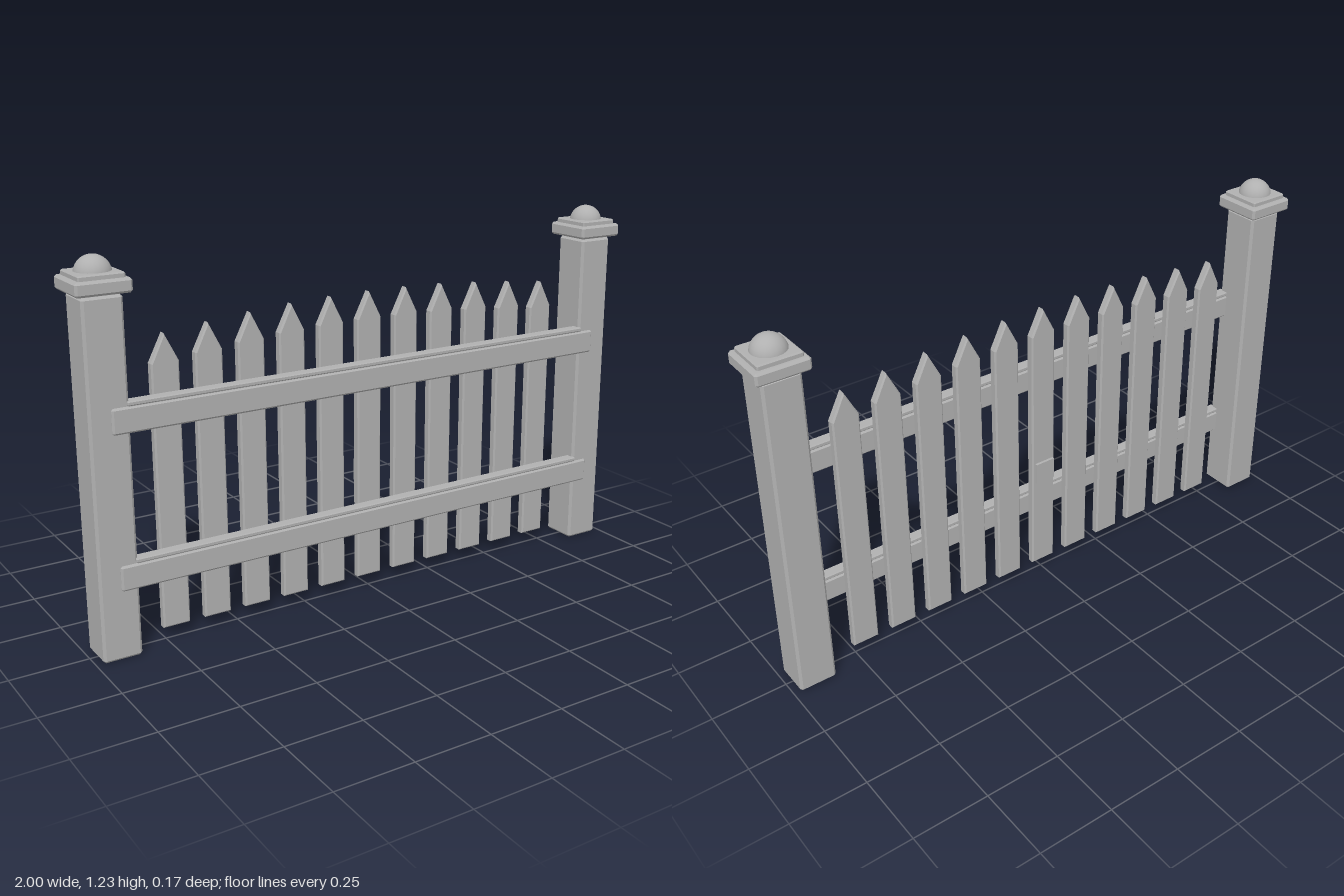
import * as THREE from 'three';
import { ConvexGeometry } from 'three/addons/geometries/ConvexGeometry.js';

const paint = new THREE.MeshStandardMaterial({ color: 0xb0b0b0 });
paint.name = 'greyPaint';

function add(parent, name, geometry, x = 0, y = 0, z = 0) {
  const mesh = new THREE.Mesh(geometry, paint);
  mesh.name = name;
  mesh.position.set(x, y, z);
  parent.add(mesh);
  return mesh;
}

// Box centred on the origin with every edge chamfered by c
function chamferBox(w, h, d, c) {
  const points = [];
  for (const sx of [-1, 1]) for (const sy of [-1, 1]) for (const sz of [-1, 1]) {
    const [x, y, z] = [w / 2, h / 2, d / 2];
    points.push(
      new THREE.Vector3(sx * x, sy * (y - c), sz * (z - c)),
      new THREE.Vector3(sx * (x - c), sy * y, sz * (z - c)),
      new THREE.Vector3(sx * (x - c), sy * (y - c), sz * z));
  }
  return new ConvexGeometry(points);
}

// Pointed board standing on y = 0, chamfered on its front and back outlines
function picketGeometry(height) {
  const c = 0.005, w = 0.045 - c, shoulder = height - 0.09;
  const shape = new THREE.Shape([
    new THREE.Vector2(-w, c), new THREE.Vector2(w, c),
    new THREE.Vector2(w, shoulder), new THREE.Vector2(0, height - 1.6 * c),
    new THREE.Vector2(-w, shoulder)]);
  const geometry = new THREE.ExtrudeGeometry(shape, {
    depth: 0.03 - 2 * c, bevelEnabled: true, bevelSegments: 1, bevelSize: c, bevelThickness: c });
  return geometry.translate(0, 0, c - 0.015);
}

export function createModel() {
  const fence = new THREE.Group();
  fence.name = 'picketFence';

  // End posts with stepped caps and domed finials
  for (const side of [-1, 1]) {
    const post = new THREE.Group();
    post.name = side > 0 ? 'leftPost' : 'rightPost';
    post.position.x = side * 0.915;
    fence.add(post);
    add(post, 'postShaft', chamferBox(0.125, 1.115, 0.125, 0.008), 0, 0.5575);
    add(post, 'postNeck', new THREE.BoxGeometry(0.11, 0.03, 0.11), 0, 1.115);
    add(post, 'postCap', chamferBox(0.17, 0.043, 0.17, 0.007), 0, 1.1415);
    add(post, 'capStep', chamferBox(0.14, 0.025, 0.14, 0.004), 0, 1.166);
    add(post, 'finial', new THREE.SphereGeometry(0.055, 20, 10, 0, Math.PI * 2, 0, Math.PI / 2), 0, 1.17);
  }

  // Pickets with a gently arched top line
  const tops = [1.02, 1.018, 1.013, 1.003, 0.99, 0.975];
  for (let i = -5; i <= 5; i++) {
    add(fence, 'picket', picketGeometry(tops[Math.abs(i)] - 0.04), i * 0.1427, 0.04, -0.003);
  }

  // Small plate on the back of the middle picket
  add(fence, 'backPlate', new THREE.BoxGeometry(0.072, 0.075, 0.009), -0.002, 0.415, -0.0225);

  // Rails with a thin moulding strip along the top
  for (const [name, y] of [['lowerRail', 0.262], ['upperRail', 0.748]]) {
    const rail = new THREE.Group();
    rail.name = name;
    rail.position.set(0, y, 0.05);
    fence.add(rail);
    add(rail, 'railBoard', chamferBox(1.82, 0.08, 0.04, 0.006));
    add(rail, 'railJoint', new THREE.BoxGeometry(1.71, 0.02, 0.03), 0, 0.04);
    add(rail, 'railMoulding', chamferBox(1.72, 0.014, 0.038, 0.003), 0, 0.048);
  }
  return fence;
}
